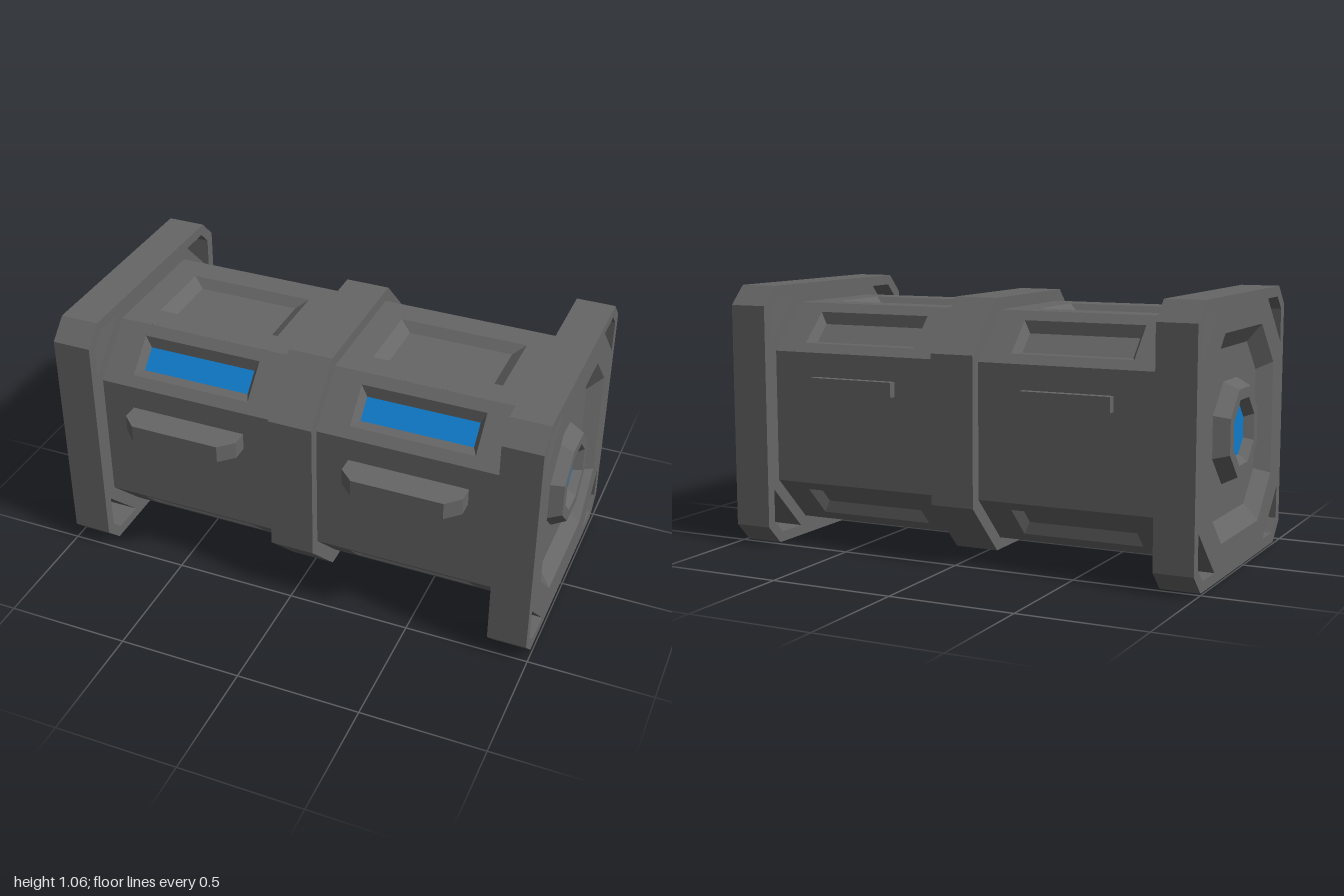
import * as THREE from 'three';

const grey = new THREE.MeshStandardMaterial({ color: 0x666666 });
grey.name = 'grey metal';
const blue = new THREE.MeshStandardMaterial({ color: 0x107ccb });
blue.name = 'blue glass';

// Outlines, counter-clockwise
const oct = (h, c) => [[h, -c], [h, c], [c, h], [-c, h], [-h, c], [-h, -c], [-c, -h], [c, -h]];
const rect = (w, h) => [[w, -h], [w, h], [-w, h], [-w, -h]];
const toShape = (pts, holes = []) => {
  const s = new THREE.Shape(pts.map(p => new THREE.Vector2(...p)));
  s.holes = holes.map(h => new THREE.Path(h.map(p => new THREE.Vector2(...p))));
  return s;
};
const prism = (shape, depth) => new THREE.ExtrudeGeometry(shape, { depth, bevelEnabled: false });

function add(parent, name, geometry, material = grey) {
  const mesh = new THREE.Mesh(geometry, material);
  mesh.name = name;
  parent.add(mesh);
  return mesh;
}

// Flat-shaded walls joining successive outlines, each given as [points, z]
function walls(...loops) {
  const pos = [];
  for (let k = 0; k + 1 < loops.length; k++) {
    const [[a, za], [b, zb]] = [loops[k], loops[k + 1]];
    a.forEach((p, i) => {
      const j = (i + 1) % a.length;
      const A = [...p, za], B = [...a[j], za], C = [...b[j], zb], D = [...b[i], zb];
      pos.push(...A, ...B, ...C, ...A, ...C, ...D);
    });
  }
  const g = new THREE.BufferGeometry();
  g.setAttribute('position', new THREE.Float32BufferAttribute(pos, 3));
  g.computeVertexNormals();
  return g;
}
const floor = (pts, z) => new THREE.ShapeGeometry(toShape(pts)).translate(0, 0, z);

const MID = 0.4625, HALF = 0.3725; // centre and half length of each body section

// One side of a body section, with an optional sunken panel
function bodySide(section, angle, dist, halfWidth, panel) {
  const side = new THREE.Group();
  side.name = 'bodySide';
  side.rotation.x = -angle;
  section.add(side);
  const holes = panel ? [panel.outer] : [];
  add(side, 'sidePlate', new THREE.ShapeGeometry(toShape(rect(HALF, halfWidth), holes)).translate(0, 0, dist));
  if (panel) {
    add(side, 'panelFrame', walls([panel.outer, dist], [panel.inner, dist - panel.depth]));
    add(side, panel.name, floor(panel.inner, dist - panel.depth), panel.material);
  }
}

function bodySection(sign) {
  const section = new THREE.Group();
  section.name = 'bodySection';
  section.position.x = sign * MID;
  const slot = { outer: rect(0.249, 0.083), inner: rect(0.226, 0.048), depth: 0.035 };
  const windowPanel = { ...slot, name: 'window', material: blue };
  const backPanel = { ...slot, name: 'backPanel', material: grey };
  const topPanel = { outer: rect(0.26, 0.155), inner: rect(0.212, 0.123), depth: 0.035, name: 'topPanel', material: grey };
  const panels = [null, windowPanel, topPanel, backPanel, null, backPanel, null, windowPanel];
  panels.forEach((panel, i) => {
    const slanted = i % 2 === 1;
    bodySide(section, i * Math.PI / 4, slanted ? 0.509 : 0.453, slanted ? 0.1315 : 0.267, panel);
  });

  // Front handle: a solid grip with slanted ends
  const grip = toShape([[-0.241, 0.44], [0.241, 0.44], [0.241, 0.518], [0.184, 0.573], [-0.184, 0.573], [-0.241, 0.518]]);
  const handle = add(section, 'frontHandle', prism(grip, 0.07));
  handle.rotation.x = Math.PI / 2;
  handle.position.y = 0.17;
  // Slim bar on the back
  add(section, 'backHandle', new THREE.BoxGeometry(0.367, 0.06, 0.05)).position.set(0, 0.14, -0.461);
  return section;
}

// End plate with cut corners, sunken centre and raised port; built facing +z
function endPlate(sign) {
  const end = new THREE.Group();
  end.name = 'endPlate';
  end.rotation.y = sign * Math.PI / 2;
  const cutouts = [[1, 1], [-1, 1], [-1, -1], [1, -1]].map(([sx, sy]) =>
    [[0.488, 0.302], [0.488, 0.435], [0.435, 0.488], [0.302, 0.488]].map(([x, y]) => [x * sx, y * sy]));
  const rim = oct(0.394, 0.228), bed = oct(0.325, 0.202);
  add(end, 'plate', prism(toShape(oct(0.53, 0.453), [...cutouts, rim]), 0.157).translate(0, 0, 0.835));
  add(end, 'recessWall', walls([rim, 0.992], [bed, 0.94]));
  add(end, 'recessFloor', floor(bed, 0.94));
  const ring = h => oct(h, h * (Math.SQRT2 - 1));
  add(end, 'port', walls([ring(0.197), 0.94], [ring(0.168), 1], [ring(0.126), 1], [ring(0.098), 0.965]));
  add(end, 'portGlass', floor(ring(0.098), 0.965), blue);
  return end;
}

export function createModel() {
  const model = new THREE.Group();
  model.name = 'container';
  const core = new THREE.Group();
  core.name = 'core';
  core.position.set(0, 0.53, -0.022);
  model.add(core);
  for (const sign of [-1, 1]) core.add(bodySection(sign), endPlate(sign));
  // Band around the middle
  const band = add(core, 'middleBand', prism(toShape(oct(0.5, 0.295)), 0.18).translate(0, 0, -0.09));
  band.rotation.y = Math.PI / 2;
  return model;
}
